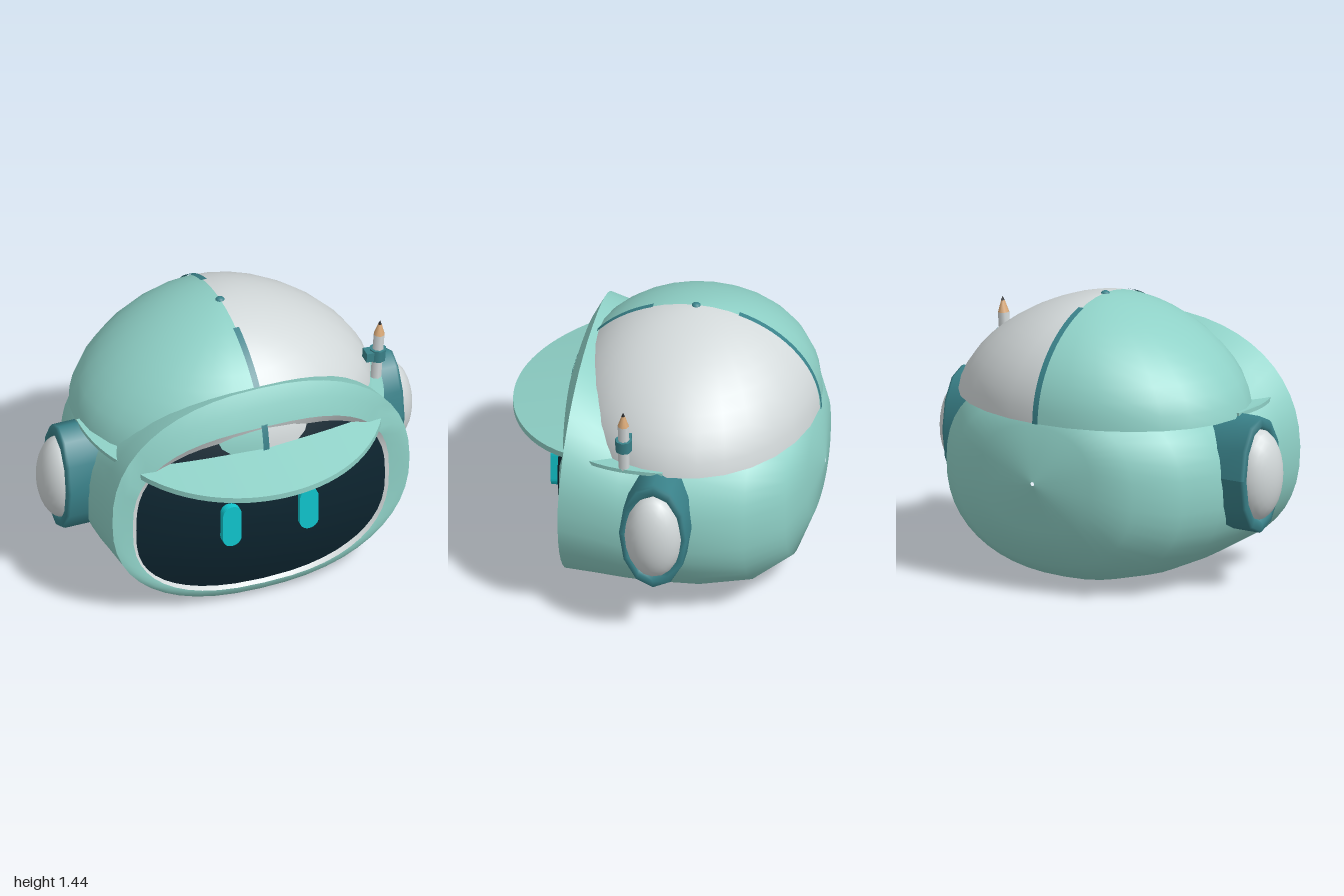
import * as THREE from 'three';

const mat = (name, color, side = THREE.FrontSide) => {
  const m = new THREE.MeshStandardMaterial({ color, side });
  m.name = name;
  return m;
};

// Rounded-oval loop; zRule(x, y) gives the depth of each point
function oval(rx, y0, y1, n, zRule, count = 48) {
  const pts = [];
  const pw = (v) => Math.sign(v) * Math.pow(Math.abs(v), 2 / n);
  for (let i = 0; i < count; i++) {
    const a = (i / count) * Math.PI * 2;
    const x = rx * pw(Math.cos(a));
    const y = (y0 + y1) / 2 + ((y1 - y0) / 2) * pw(Math.sin(a));
    pts.push(new THREE.Vector3(x, y, zRule(x, y)));
  }
  return pts;
}

// Skin joining closed loops, ordered back to front (or outside to inside)
function loft(rings) {
  const n = rings[0].length, index = [];
  for (let i = 0; i < rings.length - 1; i++) {
    for (let j = 0; j < n; j++) {
      const k = (j + 1) % n;
      const a = i * n + j, b = i * n + k, c = a + n, d = b + n;
      index.push(a, b, d, a, d, c);
    }
  }
  const g = new THREE.BufferGeometry().setFromPoints(rings.flat());
  g.setIndex(index);
  g.computeVertexNormals();
  return g;
}

// Moves every vertex of a geometry by a rule
function warp(g, rule) {
  const p = g.attributes.position, v = new THREE.Vector3();
  for (let i = 0; i < p.count; i++) {
    v.fromBufferAttribute(p, i);
    rule(v);
    p.setXYZ(i, v.x, v.y, v.z);
  }
  g.computeVertexNormals();
  return g;
}

export function createModel() {
  const root = new THREE.Group();
  const mint = mat('mint', 0x8fd1c7);
  const mintThin = mint.clone();
  mintThin.side = THREE.DoubleSide;
  const white = mat('light grey', 0xd3d9da, THREE.DoubleSide);
  const teal = mat('deep teal', 0x3a828a, THREE.DoubleSide);
  const navy = mat('screen navy', 0x0d2530);
  const cyan = mat('eye cyan', 0x10c6ce);
  const wood = mat('pencil wood', 0xd8a877);
  const lead = mat('pencil lead', 0x222426);
  const add = (name, g, m, parent = root) => {
    const mesh = new THREE.Mesh(g, m);
    mesh.name = name;
    parent.add(mesh);
    return mesh;
  };

  // Head shell: z, half width, bottom, top
  const sections = [
    [-0.79, 0.01, 0.57, 0.59], [-0.755, 0.33, 0.33, 0.87], [-0.68, 0.53, 0.14, 0.98],
    [-0.5, 0.71, 0.035, 1.05], [-0.25, 0.78, 0.003, 1.07], [0.0, 0.793, 0, 1.07],
    [0.13, 0.797, 0.004, 1.1], [0.28, 0.8, 0.008, 1.18],
  ];
  const outerZ = (x, y) => 0.43 - 0.03 * Math.max(0, (y - 0.62) / 0.61);
  const outer = oval(0.8, 0.012, 1.23, 2.3, outerZ);
  add('headShell', loft([...sections.map(([z, rx, a, b]) => oval(rx, a, b, 2.3, () => z)), outer]), mint);

  // Face rim, pale bezel and bulging screen
  const inner = oval(0.69, 0.08, 1.045, 2.6, (x) => 0.478 - 0.05 * (x / 0.69) ** 2);
  const middle = oval(0.755, 0.045, 1.15, 2.4, (x, y) => 0.468 - 0.036 * (x / 0.755) ** 2 - (y > 0.9 ? 0.02 : 0));
  add('faceRim', loft([outer, middle, inner]), mint);
  const screenZ = (x, y) => 0.545 - 0.12 * (x / 0.67) ** 2 - 0.085 * ((y - 0.55) / 0.455) ** 2;
  const screenRing = (s) => oval(0.67 * s, 0.55 - 0.455 * s, 0.55 + 0.445 * s, 2.7, screenZ);
  add('screenBezel', loft([inner, screenRing(1)]), white);
  add('screen', loft([1, 0.85, 0.68, 0.5, 0.3, 0.12, 0.001].map(screenRing)), navy);

  // Pill eyes
  for (const s of [-1, 1]) {
    const pill = new THREE.Shape();
    pill.absarc(0, 0.07, 0.05, 0, Math.PI);
    pill.absarc(0, -0.07, 0.05, Math.PI, Math.PI * 2);
    const eye = add(s > 0 ? 'leftEye' : 'rightEye',
      new THREE.ExtrudeGeometry(pill, { depth: 0.04, bevelEnabled: false, curveSegments: 8 }), cyan);
    eye.position.set(s * 0.207, 0.54, 0.524);
  }

  // Two-tone cap dome
  const domeRule = (v) => {
    const h = Math.min(1, Math.max(0, v.y));
    const rz = Math.sqrt(1 - h * h);
    const rx = Math.pow(1 - Math.pow(h, 1.65), 1 / 1.65);
    v.set(v.x * 0.78 * (rz > 1e-4 ? rx / rz : 0), 0.885 + 0.54 * h, -0.13 + 0.63 * v.z);
  };
  for (const s of [-1, 1]) {
    const half = new THREE.SphereGeometry(1, 14, 12, s > 0 ? Math.PI / 2 : -Math.PI / 2, Math.PI, 0, Math.PI / 2);
    add(s > 0 ? 'capLeftHalf' : 'capRightHalf', warp(half, domeRule), s > 0 ? white : mintThin);
  }

  // Centre seam bands and top button
  for (const s of [-1, 1]) {
    const band = new THREE.PlaneGeometry(1, 1, 1, 16);
    warp(band, (v) => {
      const a = (v.y + 0.5) * 1.22;
      v.set(v.x * 0.032, 0.885 + 0.545 * Math.sin(a), -0.13 + s * 0.637 * Math.cos(a));
    });
    add(s > 0 ? 'frontSeam' : 'backSeam', band, teal);
  }
  const button = add('capButton', new THREE.SphereGeometry(0.024, 12, 8), teal);
  button.scale.y = 0.7;
  button.position.set(0, 1.42, -0.13);

  // Curved cap peak
  const peak = new THREE.BoxGeometry(2, 0.03, 1, 28, 1, 8);
  warp(peak, (v) => {
    const x = v.x * 0.67;
    const front = 0.027 + Math.sqrt(0.763 ** 2 - x * x);
    const z = 0.39 + (v.z + 0.5) * (front - 0.39);
    v.set(x, v.y + 0.925 - 0.055 * v.x * v.x - 0.09 * (z - 0.43) / 0.36, z);
  });
  add('capPeak', peak, mint);

  // Small flaps where the cap edge meets the shell
  for (const s of [-1, 1]) {
    const leaf = new THREE.Shape();
    leaf.moveTo(s * 0.71, 0.3);
    leaf.quadraticCurveTo(s * 0.8, 0.12, s * 0.785, -0.1);
    leaf.lineTo(s * 0.66, -0.1);
    leaf.lineTo(s * 0.66, 0.25);
    const g = new THREE.ExtrudeGeometry(leaf, { depth: 0.02, bevelEnabled: false });
    g.rotateX(Math.PI / 2);
    warp(g, (v) => { v.y += 0.91 - 0.04 * Math.max(0, v.z); });
    add(s > 0 ? 'leftFlap' : 'rightFlap', g, mintThin);
  }

  // Ear pods: faceted oval housing with a pale domed cover
  for (const s of [-1, 1]) {
    const ear = new THREE.Group();
    ear.name = s > 0 ? 'leftEar' : 'rightEar';
    ear.position.set(0, 0.603, -0.075);
    ear.rotation.y = s > 0 ? 0 : Math.PI;
    if (s < 0) ear.scale.z = 1;
    if (s < 0) ear.position.z = -0.075;
    const profile = [[0.98, 0.6], [1, 0.64], [1, 0.89], [0.97, 0.905], [0.84, 0.91], [0.78, 0.89]];
    const housing = new THREE.LatheGeometry(profile.map(([r, y]) => new THREE.Vector2(r, y)), 12);
    housing.rotateZ(-Math.PI / 2);
    housing.scale(1, 0.303, 0.175);
    housing.computeVertexNormals();
    add('earHousing', housing, teal, ear);
    const cover = new THREE.SphereGeometry(1, 20, 8, 0, Math.PI * 2, 0, Math.PI / 2);
    cover.rotateZ(-Math.PI / 2);
    cover.scale(0.12, 0.235, 0.147);
    add('earCover', cover, white, ear).position.x = 0.88;
    root.add(ear);
  }

  // Pencil held in a clip on the left side
  const pencil = new THREE.Group();
  pencil.name = 'pencil';
  pencil.position.set(0.748, 0.9, 0.1);
  pencil.rotation.z = -0.07;
  const part = (name, r0, r1, y0, y1, m, sides = 8) =>
    add(name, new THREE.CylinderGeometry(r1, r0, y1 - y0, sides), m, pencil).position.setY((y0 + y1) / 2);
  part('pencilBody', 0.029, 0.029, 0, 0.26, white);
  part('pencilWood', 0.029, 0.009, 0.26, 0.32, wood);
  part('pencilLead', 0.009, 0.001, 0.32, 0.34, lead);
  part('pencilClip', 0.043, 0.043, 0.11, 0.175, teal);
  const arm = add('clipArm', new THREE.BoxGeometry(0.07, 0.05, 0.06), teal, pencil);
  arm.position.set(-0.035, 0.142, 0);
  root.add(pencil);

  return root;
}
